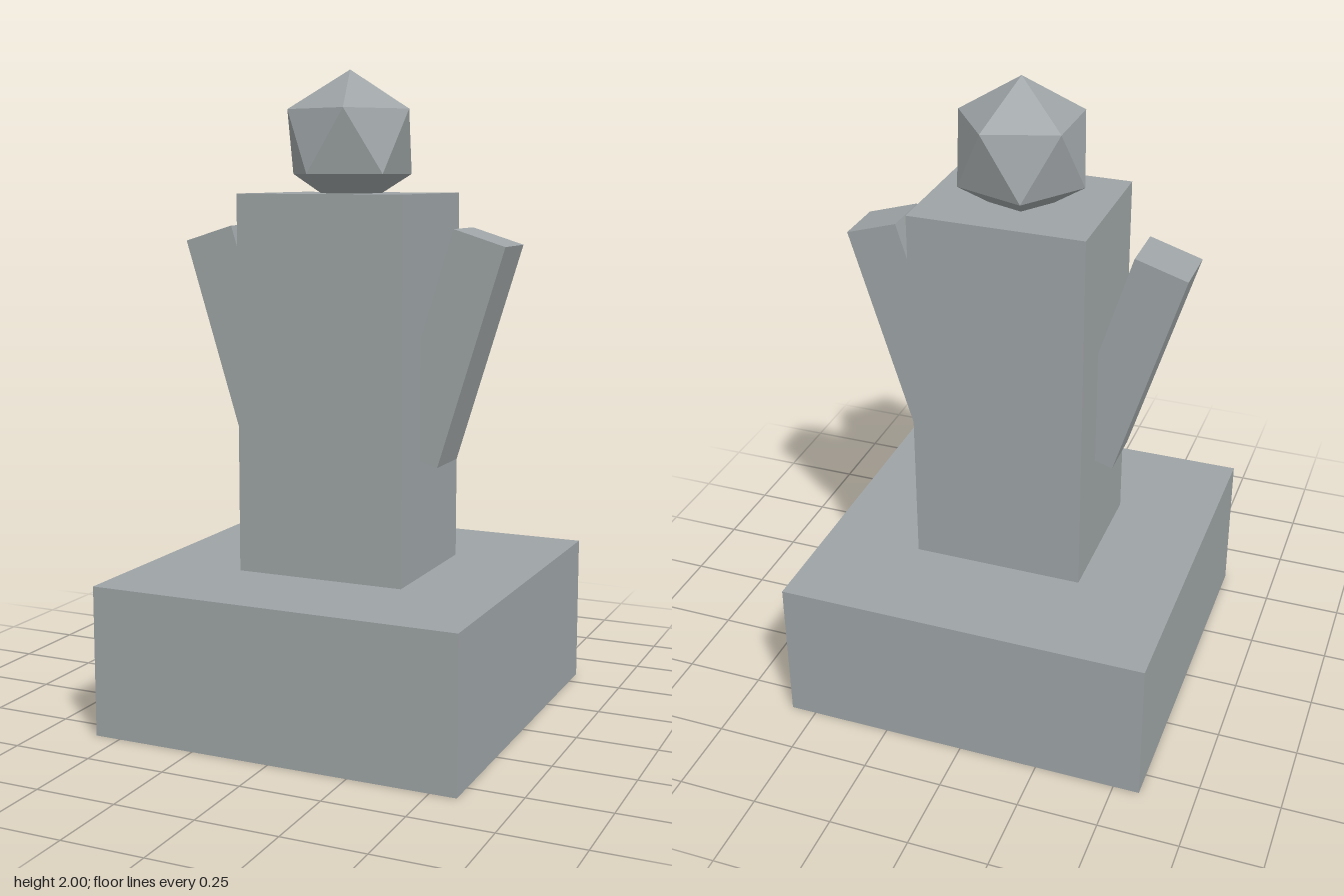
import * as THREE from 'three';

export function createModel() {
  const model = new THREE.Group();
  model.name = 'statue';
  const stone = new THREE.MeshStandardMaterial({ color: 0x9ea4a6 });
  stone.name = 'grey stone';

  const add = (name, geometry, x, y) => {
    const mesh = new THREE.Mesh(geometry, stone);
    mesh.name = name;
    mesh.position.set(x, y, 0);
    model.add(mesh);
    return mesh;
  };

  // Square plinth and upright body
  add('plinth', new THREE.BoxGeometry(1.163, 0.465, 1.163), 0, 0.2325);
  add('body', new THREE.BoxGeometry(0.54, 1.163, 0.465), 0, 1.0465);

  // Raised arms, leaning outwards at the top
  for (const side of [1, -1]) {
    const arm = add(side > 0 ? 'leftArm' : 'rightArm',
      new THREE.BoxGeometry(0.168, 0.698, 0.168), side * 0.348, 1.168);
    arm.rotation.z = -side * 0.3;
  }

  // Faceted head, turned so that one corner points straight up
  const head = new THREE.IcosahedronGeometry(0.217, 0);
  head.rotateZ(-Math.atan2(2, 1 + Math.sqrt(5)));
  add('head', head, 0, 1.783);

  return model;
}
